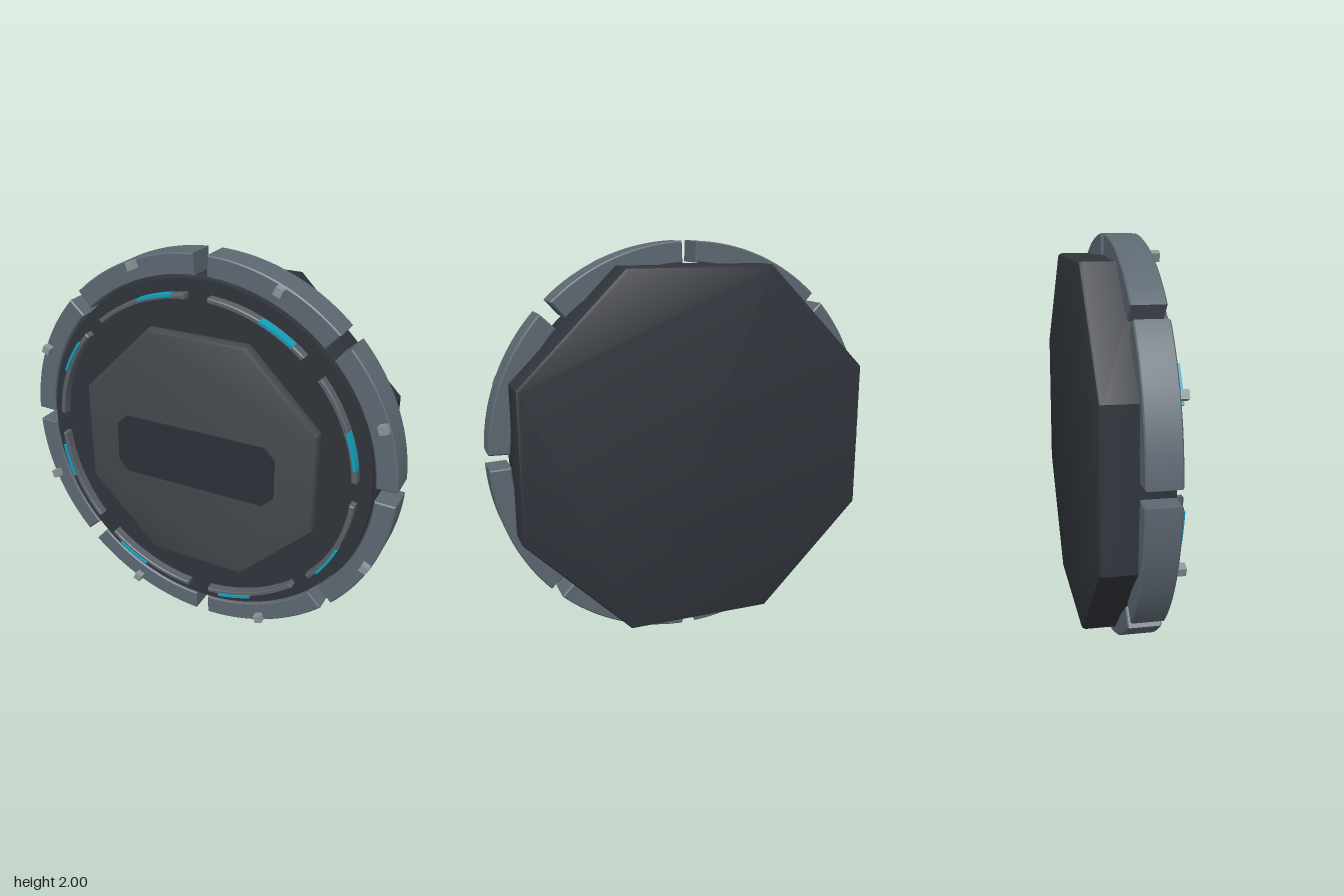
import * as THREE from 'three';
import { toCreasedNormals } from 'three/addons/utils/BufferGeometryUtils.js';

const DEG = Math.PI / 180;
const mat = (color) => new THREE.MeshStandardMaterial({ color });

// Extrudes a shape from z0 to z1 with a bevel that stays inside the outline
function slab(shape, z0, z1, bevel, bevelSegments = 1) {
  const geo = new THREE.ExtrudeGeometry(shape, {
    depth: z1 - z0 - 2 * bevel, bevelEnabled: bevel > 0, bevelThickness: bevel,
    bevelSize: bevel, bevelOffset: -bevel, bevelSegments, curveSegments: 20,
  });
  geo.translate(0, 0, z0 + bevel);
  return toCreasedNormals(geo, 25 * DEG);
}

// Regular octagon with flat sides on the axes
function octagon(apothem) {
  const r = apothem / Math.cos(22.5 * DEG);
  const pts = [];
  for (let i = 0; i < 8; i++) {
    const a = (22.5 + 45 * i) * DEG;
    pts.push(new THREE.Vector2(r * Math.cos(a), r * Math.sin(a)));
  }
  return new THREE.Shape(pts);
}

// Piece of a flat ring between two angles in degrees
function arcBand(inner, outer, from, to) {
  const s = new THREE.Shape();
  s.absarc(0, 0, outer, from * DEG, to * DEG, false);
  s.absarc(0, 0, inner, to * DEG, from * DEG, true);
  s.closePath();
  return s;
}

// Rectangle with cut corners
function chamferedRect(w, h, c) {
  return new THREE.Shape([
    [w - c, -h], [w, -h + c], [w, h - c], [w - c, h],
    [-w + c, h], [-w, h - c], [-w, -h + c], [-w + c, -h],
  ].map(([x, y]) => new THREE.Vector2(x, y)));
}

export function createModel() {
  const model = new THREE.Group();
  const body = mat(0x30343b);
  const armor = mat(0x5d6872);
  const panel = mat(0x42494e);
  const trim = mat(0x596067);
  const bolt = mat(0x8b9499);
  const glow = mat(0x149fba);
  const plate = mat(0x2c3037);

  const add = (name, geo, material, parent = model) => {
    const mesh = new THREE.Mesh(geo, material);
    mesh.name = name;
    parent.add(mesh);
    return mesh;
  };

  // Octagonal housing and the round face set into the ring
  add('housing', slab(octagon(0.89), -0.21, 0.09, 0.02, 2), body);
  const face = new THREE.CylinderGeometry(0.885, 0.885, 0.11, 64);
  face.rotateX(Math.PI / 2).translate(0, 0, 0.065);
  add('faceDisc', face, body);

  // Raised centre panel and the thin plate in front of it
  add('centrePanel', slab(octagon(0.625), 0.11, 0.18, 0.018, 2), panel);
  add('namePlate', slab(chamferedRect(0.432, 0.158, 0.055), 0.2, 0.21, 0), plate);

  // Eight equal sectors: ring segment, bolt, trim arc and light strip
  const segmentGeo = slab(arcBand(0.897, 1, 2.1, 42.9), -0.04, 0.12, 0.006);
  const trimGeo = slab(arcBand(0.797, 0.822, 4.2, 40.8), 0.115, 0.168, 0.005);
  const lightGeo = slab(arcBand(0.812, 0.825, 9, 22), 0.13, 0.178, 0);
  const boltGeo = new THREE.BoxGeometry(0.04, 0.04, 0.05);
  for (let i = 0; i < 8; i++) {
    const sector = new THREE.Group();
    sector.name = 'sector' + (i + 1);
    sector.rotation.z = i * 45 * DEG;
    add('ringSegment', segmentGeo, armor, sector);
    add('trimArc', trimGeo, trim, sector);
    add('lightStrip', lightGeo, glow, sector);
    const b = add('bolt', boltGeo, bolt, sector);
    b.position.set(0.975 * Math.cos(21 * DEG), 0.975 * Math.sin(21 * DEG), 0.132);
    b.rotation.z = 21 * DEG;
    model.add(sector);
  }

  model.position.y = 1;
  const root = new THREE.Group();
  root.name = 'octagonalHatch';
  model.name = 'hatch';
  root.add(model);
  return root;
}
